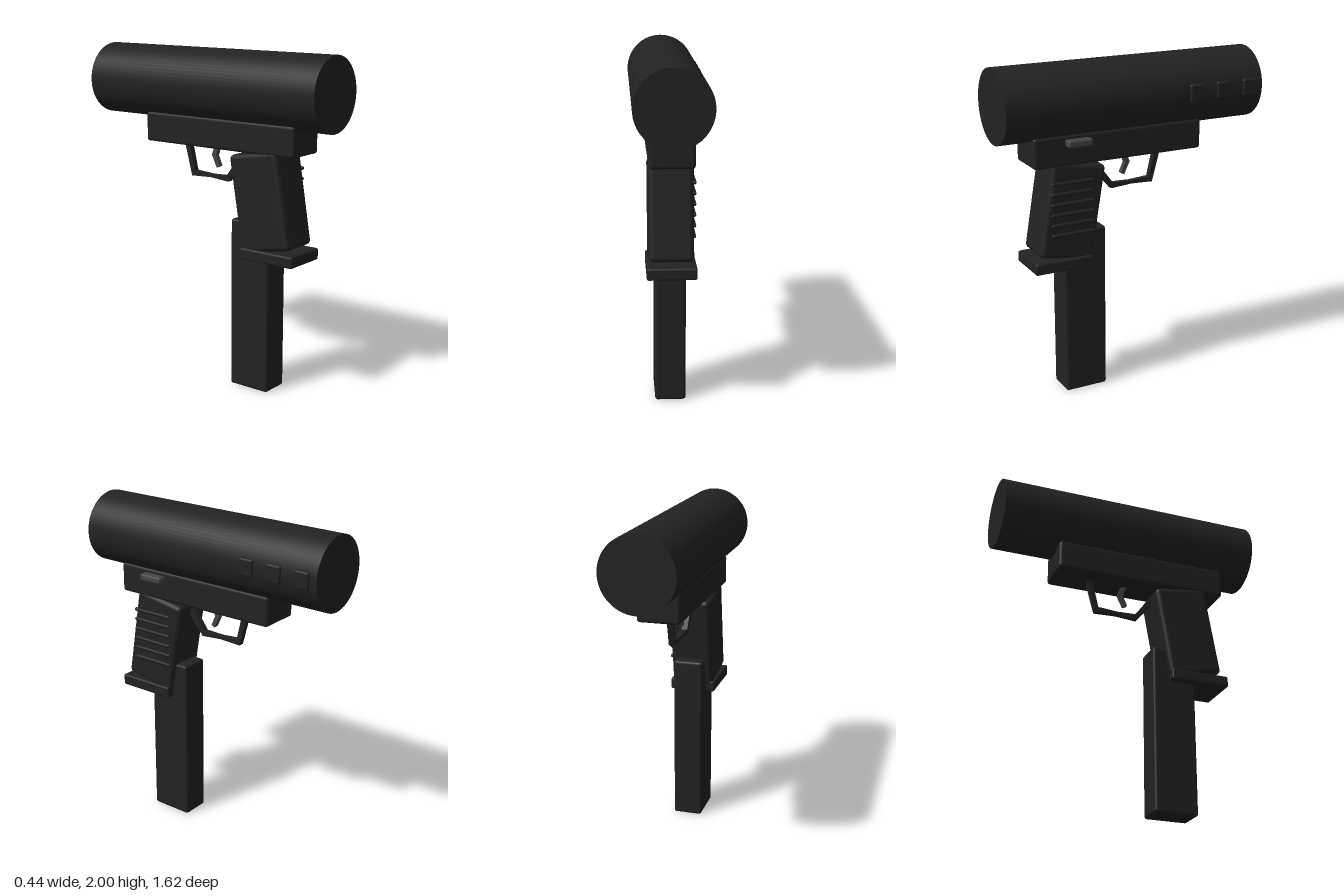
import * as THREE from 'three';
import { RoundedBoxGeometry } from 'three/addons/geometries/RoundedBoxGeometry.js';

const body = new THREE.MeshStandardMaterial({ color: 0x222222 });
body.name = 'matte black';
const grey = new THREE.MeshStandardMaterial({ color: 0x444448 });
grey.name = 'dark grey';

export function createModel() {
  const model = new THREE.Group();
  model.name = 'launcher';
  const MID = -0.005; // centre plane of the body

  const add = (name, geometry, material = body) => {
    const mesh = new THREE.Mesh(geometry, material);
    mesh.name = name;
    model.add(mesh);
    return mesh;
  };

  // Rounded box given by its limits on each axis
  const box = (name, [x0, x1], [y0, y1], [z0, z1], radius, material) => {
    const mesh = add(name, new RoundedBoxGeometry(x1 - x0, y1 - y0, z1 - z0, 3, radius), material);
    mesh.position.set((x0 + x1) / 2, (y0 + y1) / 2, (z0 + z1) / 2);
    return mesh;
  };

  // Side outline of [z, y] points, given a width across x
  const sidePlate = (name, points, width, material) => {
    const shape = new THREE.Shape(points.map(([z, y]) => new THREE.Vector2(-z, y)));
    const geometry = new THREE.ExtrudeGeometry(shape, { depth: width, bevelEnabled: false });
    geometry.translate(0, 0, -width / 2);
    geometry.rotateY(Math.PI / 2);
    add(name, geometry, material).position.x = MID;
  };

  // Main barrel
  const barrel = add('barrel', new THREE.CylinderGeometry(0.215, 0.215, 1.625, 64).rotateX(Math.PI / 2));
  barrel.position.set(-0.006, 1.785, 0);

  // Raised square pads on the side of the barrel
  for (const z of [-0.363, -0.542, -0.722]) {
    box('barrelPad', [0.17, 0.221], [1.737, 1.839], [z - 0.046, z + 0.046], 0.012);
  }

  // Receiver and its selector button
  box('receiver', [-0.132, 0.122], [1.43, 1.61], [-0.445, 0.627], 0.018);
  box('selectorButton', [0.118, 0.177], [1.544, 1.588], [0.286, 0.44], 0.014, grey);

  // Slanted grip
  const grip = box('grip', [-0.132, 0.12], [0.868, 1.438], [0.223, 0.557], 0.028);
  grip.rotation.x = -0.167;

  // Grip ridges
  for (let i = 0; i < 6; i++) {
    const ridge = add('gripRidge', new THREE.CapsuleGeometry(0.011, 0.25, 4, 10).rotateX(Math.PI / 2));
    ridge.position.set(0.123, 1.333 - i * 0.0614, 0.395);
  }

  // Base plate and long magazine
  box('basePlate', [-0.145, 0.135], [0.807, 0.876], [0.272, 0.637], 0.012);
  box('magazine', [-0.093, 0.085], [0, 1.025], [0.17, 0.437], 0.016);

  // Trigger guard
  sidePlate('triggerGuard', [
    [0.20, 1.345], [0.095, 1.224], [-0.035, 1.235], [-0.178, 1.229], [-0.235, 1.44],
    [-0.2, 1.44], [-0.158, 1.261], [-0.035, 1.252], [0.083, 1.256], [0.18, 1.385],
  ], 0.036);

  // Trigger
  sidePlate('trigger', [
    [0.027, 1.44], [0.003, 1.37], [0.03, 1.308], [0.008, 1.297], [-0.028, 1.373], [-0.002, 1.44],
  ], 0.03, grey);

  return model;
}
